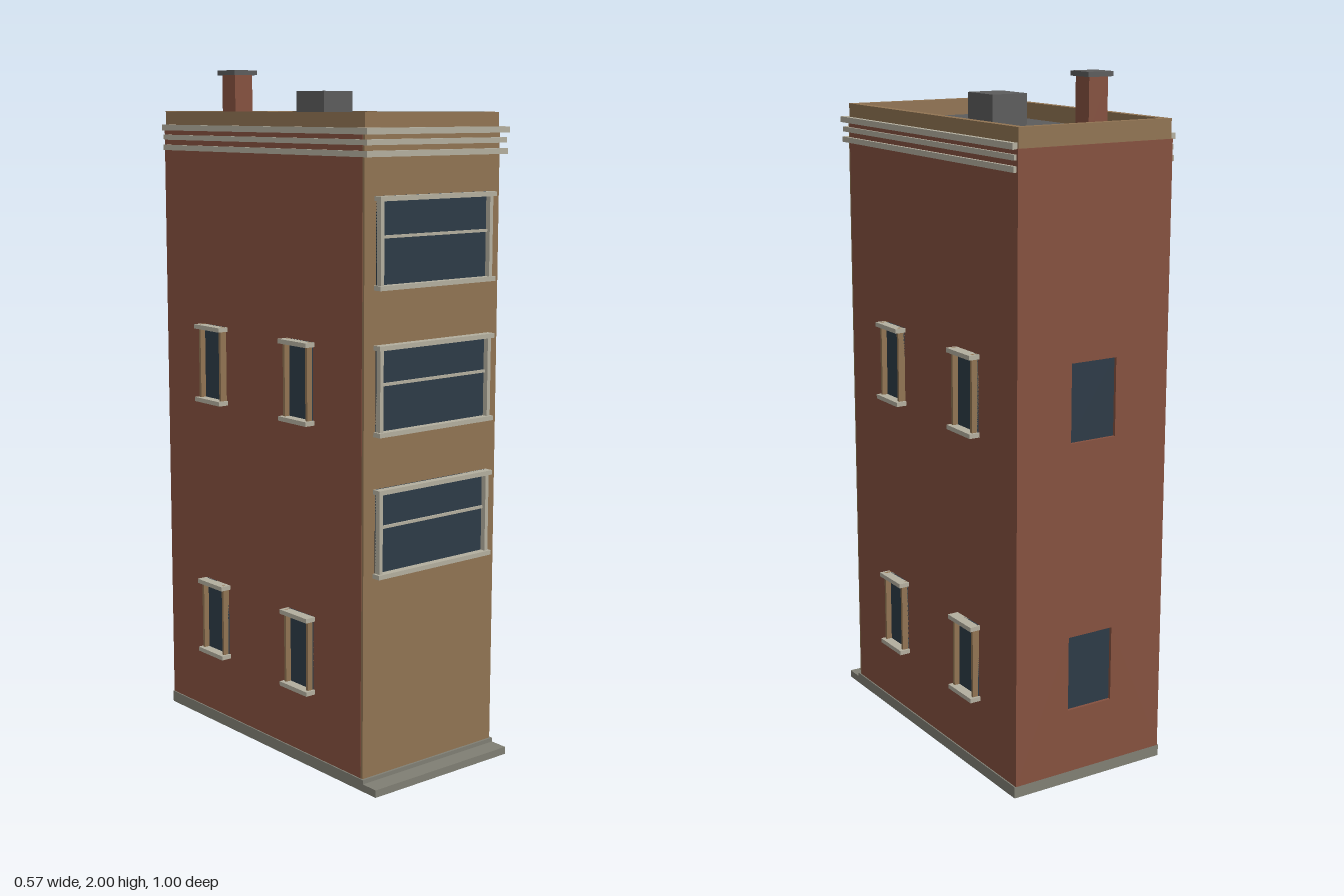
import * as THREE from 'three';

const mat = (name, color) => {
  const m = new THREE.MeshStandardMaterial({ color });
  m.name = name;
  return m;
};

export function createModel() {
  const tan = mat('tan plaster', 0x917453);
  const brick = mat('red brick', 0x85513f);
  const glass = mat('dark glass', 0x2d3b47);
  const roofGrey = mat('roof grey', 0x5c5c5c);
  const stone = mat('pale stone', 0xb4af9f);
  const concrete = mat('plinth concrete', 0x807f74);

  const model = new THREE.Group();
  model.name = 'townhouse';

  // Box given by its limits on each axis
  const box = (parent, name, m, x0, x1, y0, y1, z0, z1) => {
    const mesh = new THREE.Mesh(new THREE.BoxGeometry(x1 - x0, y1 - y0, z1 - z0), m);
    mesh.position.set((x0 + x1) / 2, (y0 + y1) / 2, (z0 + z1) / 2);
    mesh.name = name;
    parent.add(mesh);
    return mesh;
  };

  // Plinth and front step
  box(model, 'plinth', concrete, -0.254, 0.254, 0, 0.034, -0.5, 0.445);
  box(model, 'frontStep', concrete, -0.254, 0.254, 0, 0.022, 0.445, 0.5);

  // Main body with tan front facade
  box(model, 'brickBody', brick, -0.25, 0.25, 0.034, 1.825, -0.488, 0.43);
  box(model, 'frontFacade', tan, -0.249, 0.249, 0.034, 1.825, 0.43, 0.438);

  // Back wall with two shallow window openings
  const wall = new THREE.Shape();
  wall.moveTo(-0.25, 0.034).lineTo(0.25, 0.034).lineTo(0.25, 1.825).lineTo(-0.25, 1.825).closePath();
  const sideRows = [[0.225, 0.457], [1.015, 1.25]];
  for (const [y0, y1] of sideRows) {
    const hole = new THREE.Path();
    hole.moveTo(-0.074, y0).lineTo(-0.074, y1 - 0.01).lineTo(0.074, y1 - 0.01).lineTo(0.074, y0).closePath();
    wall.holes.push(hole);
    box(model, 'backWindowGlass', glass, -0.074, 0.074, y0, y1 - 0.01, -0.491, -0.487);
  }
  const backWall = new THREE.Mesh(new THREE.ExtrudeGeometry(wall, { depth: 0.012, bevelEnabled: false }), brick);
  backWall.position.z = -0.5;
  backWall.name = 'backWall';
  model.add(backWall);

  // Parapet ring and sunken roof deck
  const ring = new THREE.Shape();
  ring.moveTo(-0.247, -0.436).lineTo(0.247, -0.436).lineTo(0.247, 0.497).lineTo(-0.247, 0.497).closePath();
  const inner = new THREE.Path();
  inner.moveTo(-0.224, -0.409).lineTo(-0.224, 0.475).lineTo(0.224, 0.475).lineTo(0.224, -0.409).closePath();
  ring.holes.push(inner);
  const parapet = new THREE.Mesh(new THREE.ExtrudeGeometry(ring, { depth: 0.06, bevelEnabled: false }), tan);
  parapet.rotation.x = -Math.PI / 2;
  parapet.position.y = 1.82;
  parapet.name = 'parapet';
  model.add(parapet);
  box(model, 'roofDeck', roofGrey, -0.225, 0.225, 1.815, 1.832, -0.476, 0.41);

  // Three cornice bands along the front and both sides
  const cornice = new THREE.Group();
  cornice.name = 'cornice';
  model.add(cornice);
  for (const [y0, y1, out] of [[1.823, 1.84, 0.013], [1.795, 1.81, 0.008], [1.764, 1.78, 0.01]]) {
    box(cornice, 'frontBand', stone, -0.25 - out, 0.25 + out, y0, y1, 0.425, 0.45 + out);
    for (const s of [-1, 1]) {
      const c = s * (0.245 + out / 2), h = 0.005 + out / 2;
      box(cornice, 'sideBand', stone, c - h, c + h, y0, y1, -0.494, 0.425);
    }
  }

  // Framed window facing +z, built about its bottom centre
  const framedWindow = (name, w, h, t, depth, lip, jambMat, rail) => {
    const g = new THREE.Group();
    g.name = name;
    box(g, 'glass', glass, -w / 2, w / 2, 0, h, -0.002, 0.004);
    for (const s of [-1, 1]) {
      const x = s * (w / 2 - t / 2);
      box(g, 'jamb', jambMat, x - t / 2, x + t / 2, 0, h, 0, depth);
    }
    for (const [part, y] of [['sill', 0], ['lintel', h - 0.013]]) {
      box(g, part, stone, -w / 2 - 0.007, w / 2 + 0.007, y, y + 0.013, 0, lip);
    }
    if (rail) box(g, 'middleRail', stone, -w / 2 + t, w / 2 - t, h * 0.55, h * 0.55 + 0.008, 0, 0.01);
    model.add(g);
    return g;
  };

  // Three wide windows on the front
  for (const y of [0.612, 1.01, 1.41]) {
    framedWindow('frontWindow', 0.416, 0.251, 0.012, 0.02, 0.027, stone, true).position.set(0, y, 0.438);
  }

  // Narrow windows on both sides
  for (const s of [-1, 1]) {
    for (const z of [0.165, -0.248]) {
      for (const [y0, y1] of sideRows) {
        const win = framedWindow('sideWindow', 0.111, y1 - y0, 0.009, 0.021, 0.033, tan, false);
        win.position.set(s * 0.25, y0, z);
        win.rotation.y = s * Math.PI / 2;
      }
    }
  }

  // Rooftop vent box and chimney
  box(model, 'roofVent', roofGrey, 0.031, 0.142, 1.83, 1.94, -0.207, -0.077);
  box(model, 'chimneyShaft', brick, -0.156, -0.093, 1.83, 1.986, -0.327, -0.263);
  box(model, 'chimneyCap', roofGrey, -0.166, -0.083, 1.986, 2.0, -0.338, -0.252);

  return model;
}
